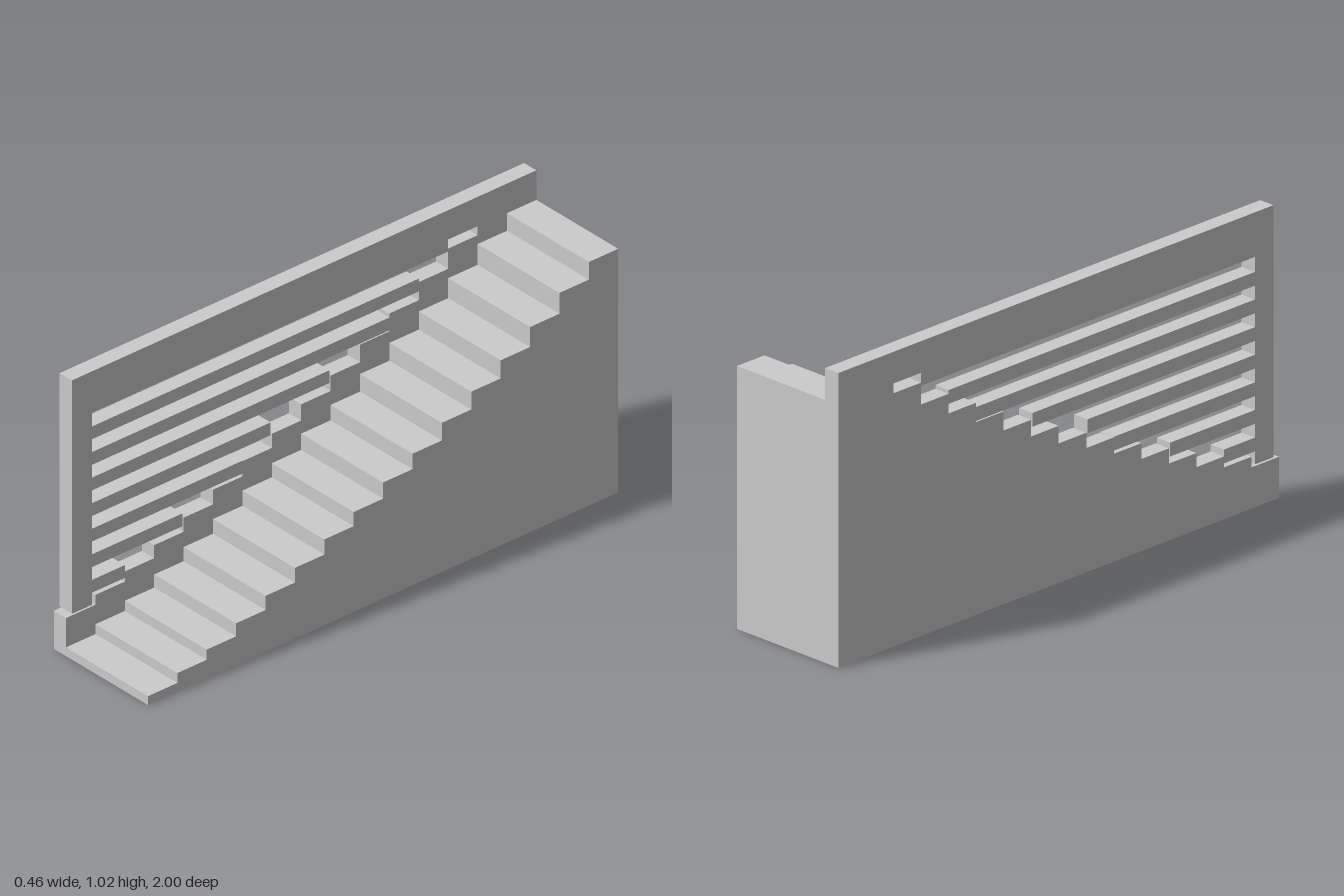
import * as THREE from 'three';

const TREAD = 0.125;
const HEIGHTS = [0.033, 0.07, 0.108, 0.157, 0.21, 0.265, 0.322, 0.375,
  0.436, 0.494, 0.56, 0.627, 0.695, 0.77, 0.848, 0.914];
const X_OUT = -0.23, X_IN = -0.17, X_LEFT = 0.23;
const CURB = 0.11; // rise of the stepped curb above the treads

export function createModel() {
  const group = new THREE.Group();
  const material = new THREE.MeshStandardMaterial({ color: 0xcccccc, flatShading: true });

  function add(name, geometry) {
    const mesh = new THREE.Mesh(geometry, material);
    mesh.name = name;
    group.add(mesh);
    return mesh;
  }

  // Side profiles are drawn in (-z, y) and extruded along x
  function addProfile(name, shape, x0, x1) {
    const geometry = new THREE.ExtrudeGeometry(shape, { depth: x1 - x0, bevelEnabled: false });
    geometry.rotateY(Math.PI / 2);
    geometry.translate(x0, 0, 0);
    return add(name, geometry);
  }

  const toShape = (pts) => new THREE.Shape(pts.map(([u, y]) => new THREE.Vector2(u, y)));

  // Solid flight of steps
  const steps = [[1, 0]];
  for (let i = HEIGHTS.length - 1; i >= 0; i--) {
    const u = -1 + i * TREAD;
    steps.push([u + TREAD, HEIGHTS[i]], [u, HEIGHTS[i]]);
  }
  steps.push([-1, 0]);
  addProfile('stairFlight', toShape(steps), X_IN, X_LEFT);

  // Side wall: top band, front post and stepped curb around one large opening
  const wall = [[-1, 0], [1, 0], [1, 1.025], [-0.975, 1.025], [-0.975, 0.149],
    [-0.89, 0.149], [-0.89, 0.87], [0.625, 0.87]];
  for (let i = 12; i >= 0; i--) {
    const u = -1 + i * TREAD, y = HEIGHTS[i] + CURB;
    wall.push([u + TREAD, y], [u, y]);
  }
  const wallShape = toShape(wall);

  // Small separate window near the top of the flight
  wallShape.holes.push(toShape([[0.625, 0.881], [0.625, 0.915], [0.75, 0.915], [0.75, 0.881]]));
  addProfile('sideWall', wallShape, X_OUT, X_IN);

  // Horizontal rails, from the front post back to the curb
  const railEnds = [0.75, 0.505, 0.25, 0.13, -0.12, -0.375, -0.5];
  railEnds.forEach((zEnd, k) => {
    const rail = add('rail' + (k + 1), new THREE.BoxGeometry(X_IN - X_OUT, 0.048, 0.89 - zEnd));
    rail.position.set((X_OUT + X_IN) / 2, 0.218 + 0.096 * k, (0.89 + zEnd) / 2);
  });

  return group;
}
